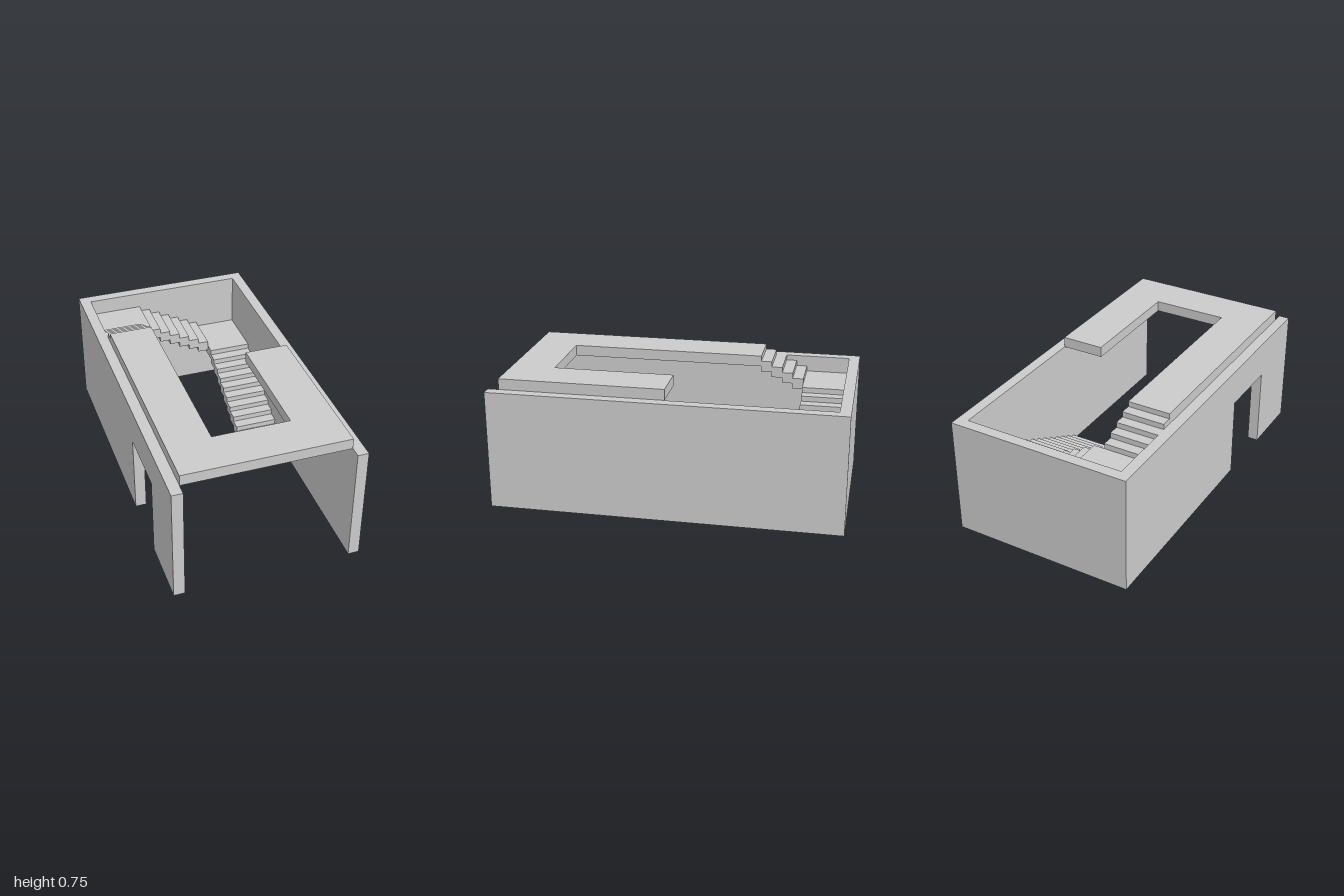
import * as THREE from 'three';

const U = 1 / 16;            // wall thickness, slab thickness and tread depth
const RISE = U / 2;          // height of one stair riser
const IN = 0.46875;          // inner face of the side walls
const OPEN = 0.21875;        // half width of the stairwell
const WALL_H = 0.6875;
const BACK = -1 + U;         // inner face of the back wall

const material = new THREE.MeshStandardMaterial({ color: 0xcccccc, flatShading: true });

// Box given by its limits on each axis
function block(name, x0, x1, y0, y1, z0, z1) {
  const mesh = new THREE.Mesh(new THREE.BoxGeometry(x1 - x0, y1 - y0, z1 - z0), material);
  mesh.position.set((x0 + x1) / 2, (y0 + y1) / 2, (z0 + z1) / 2);
  mesh.name = name;
  return mesh;
}

function extrude(name, points) {
  const shape = new THREE.Shape(points.map(([a, b]) => new THREE.Vector2(a, b)));
  const geometry = new THREE.ExtrudeGeometry(shape, { depth: U, bevelEnabled: false });
  const mesh = new THREE.Mesh(geometry, material);
  mesh.name = name;
  return mesh;
}

// Group of steps; place(k, top, bottom) returns the block for step k
function flight(name, count, baseY, place) {
  const group = new THREE.Group();
  group.name = name;
  for (let k = 1; k <= count; k++) {
    const top = baseY + k * RISE;
    group.add(place(k, top, Math.max(0, top - U)));
  }
  return group;
}

export function createModel() {
  const model = new THREE.Group();
  model.name = 'stairwell';

  // Walls: solid left, back with an upper band, right with a doorway
  model.add(block('leftWall', IN, IN + U, 0, WALL_H, -1, 1));
  model.add(block('backWall', -IN, IN, 0, WALL_H - U, -1, BACK));
  model.add(block('backWallBand', -IN, IN, WALL_H - U, WALL_H, -1, BACK));
  const rightWall = extrude('rightWall', [
    [-1, 0], [0.25, 0], [0.25, 0.47], [0.625, 0.47], [0.625, 0], [1, 0], [1, WALL_H], [-1, WALL_H],
  ]);
  rightWall.geometry.rotateY(-Math.PI / 2);
  rightWall.position.x = -IN;
  model.add(rightWall);

  // U-shaped upper floor around the opening
  const floor = extrude('upperFloor', [
    [-IN, -0.4375], [-OPEN, -0.4375], [-OPEN, 0.6875], [OPEN, 0.6875],
    [OPEN, 0], [IN, 0], [IN, 1 - U], [-IN, 1 - U],
  ]);
  floor.geometry.rotateX(Math.PI / 2);
  floor.position.y = WALL_H + U;
  model.add(floor);

  // Lower flight climbs towards the back along the left wall
  model.add(flight('lowerFlight', 11, 0, (k, top, bottom) => {
    const z = U * (2 - k);
    return block('step', OPEN, IN, bottom, top, z - U, z);
  }));
  const lowY = 12 * RISE;
  model.add(block('lowerLanding', OPEN, IN, lowY - U, lowY, BACK, -0.625));

  // Middle flight crosses along the back wall
  model.add(flight('middleFlight', 7, lowY, (k, top, bottom) => {
    const x = OPEN - U * (k - 1);
    return block('step', x - U, x, bottom, top, BACK, -0.6875);
  }));
  const highY = lowY + 7 * RISE;
  model.add(block('upperLanding', -IN, -OPEN, highY - U, highY, BACK, -0.6875));

  // Upper flight returns towards the front to reach the floor
  model.add(flight('upperFlight', 4, highY, (k, top, bottom) => {
    const z = -0.6875 + U * (k - 1);
    return block('step', -IN, -OPEN, bottom, top, z, z + U);
  }));

  return model;
}
